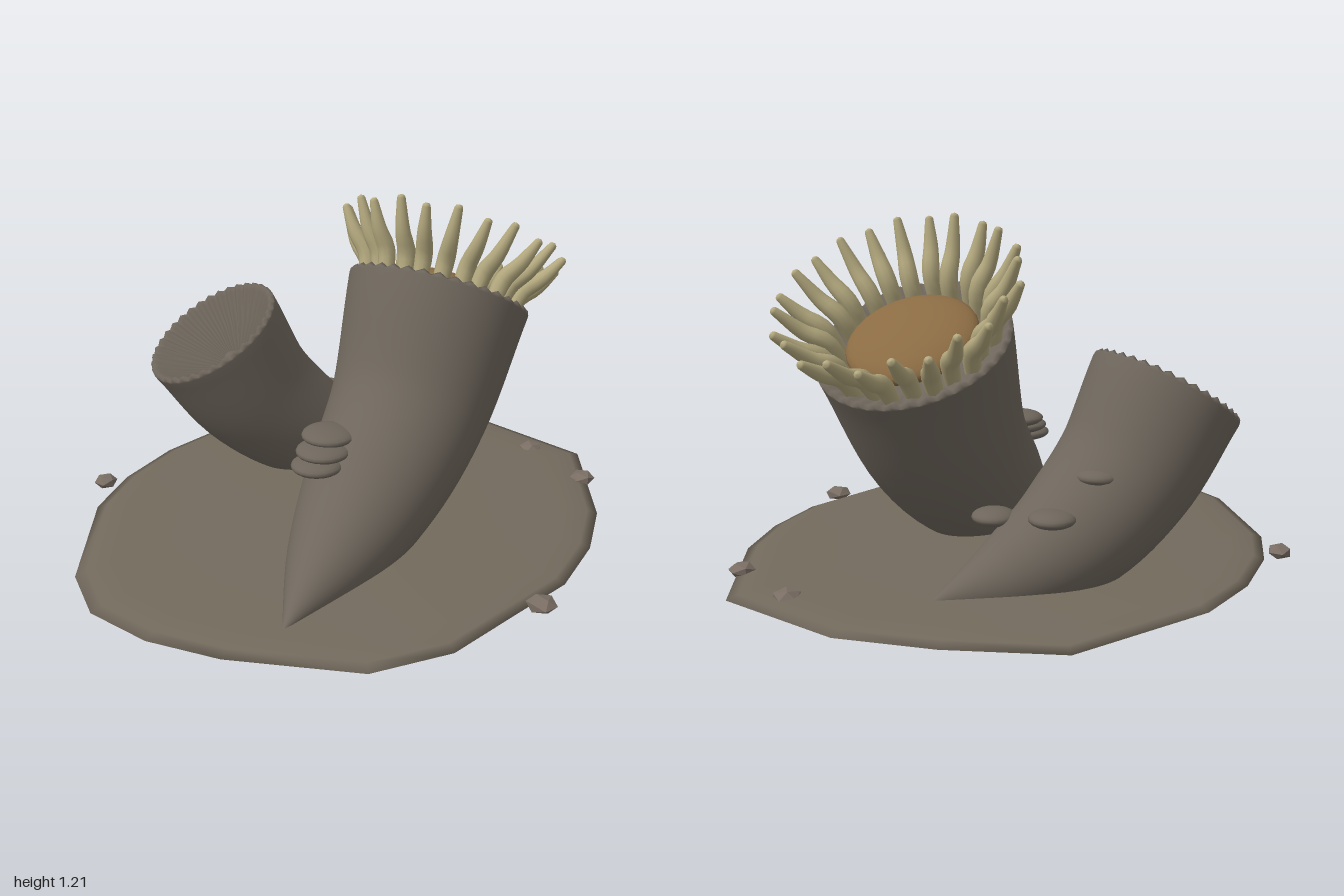
import * as THREE from 'three';

const mat = (name, color, extra = {}) => {
  const m = new THREE.MeshStandardMaterial({ color, ...extra });
  m.name = name;
  return m;
};
const V = (a) => new THREE.Vector3(...a);

// Round body swept along a path; lip rows [radius factor, offset, fold depth] close the end
function loft(points, radii, { segs = 16, rows = 8, lip = [], folds = 0 }) {
  const curve = new THREE.CatmullRomCurve3(points.map(V), false, 'catmullrom', 0.5);
  const radius = new THREE.CatmullRomCurve3(radii.map((r) => V([r, 0, 0])), false, 'catmullrom', 0.5);
  const f = curve.computeFrenetFrames(rows);
  const pos = [], index = [];
  const ring = (center, r, k, fold) => {
    for (let i = 0; i < segs; i++) {
      const a = (i / segs) * Math.PI * 2;
      const wave = fold * Math.cos(a * folds);
      const p = center.clone()
        .addScaledVector(f.normals[k], r * Math.cos(a))
        .addScaledVector(f.binormals[k], r * Math.sin(a))
        .addScaledVector(f.tangents[k], wave);
      pos.push(p.x, p.y, p.z);
    }
  };
  for (let j = 0; j <= rows; j++) {
    const u = j / rows;
    ring(curve.getPointAt(u), radius.getPoint(curve.getUtoTmapping(u)).x, j, 0);
  }
  const end = curve.getPoint(1), endR = radii[radii.length - 1];
  for (const [s, off, fold = 0] of lip) {
    ring(end.clone().addScaledVector(f.tangents[rows], off), endR * s, rows, fold);
  }
  for (let j = 0; j < rows + lip.length; j++) {
    for (let i = 0; i < segs; i++) {
      const a = j * segs + i, b = j * segs + ((i + 1) % segs);
      index.push(a, b, a + segs, b, b + segs, a + segs);
    }
  }
  const g = new THREE.BufferGeometry();
  g.setAttribute('position', new THREE.Float32BufferAttribute(pos, 3));
  g.setIndex(index);
  g.computeVertexNormals();
  return { geometry: g, end, axis: f.tangents[rows] };
}

// Irregular slab, thin at the rim and slightly domed on both faces
function slabGeometry() {
  const outline = [
    [0.01, -0.87], [0.28, -0.85], [0.76, -0.65], [0.91, -0.32], [0.99, -0.02], [0.92, 0.43],
    [0.51, 0.71], [0.27, 0.8], [0.01, 0.84], [-0.25, 0.8], [-0.52, 0.76], [-0.75, 0.62],
    [-0.94, 0.24], [-1, 0], [-0.99, -0.24], [-0.87, -0.44], [-0.49, -0.74], [-0.26, -0.83],
  ];
  const rows = [[0, 0.12], [0.55, 0.117], [0.88, 0.106], [0.96, 0.097], [1, 0.085],
    [0.96, 0.071], [0.88, 0.06], [0.55, 0.048], [0, 0.045]];
  const n = outline.length, pos = [], index = [];
  for (const [s, y] of rows) for (const [x, z] of outline) pos.push(x * s, y, z * s);
  for (let j = 0; j < rows.length - 1; j++) {
    for (let i = 0; i < n; i++) {
      const a = j * n + i, b = j * n + ((i + 1) % n);
      index.push(a, a + n, b, b, a + n, b + n);
    }
  }
  const g = new THREE.BufferGeometry();
  g.setAttribute('position', new THREE.Float32BufferAttribute(pos, 3));
  // outline runs clockwise seen from above
  for (let i = 0; i < index.length; i += 3) [index[i + 1], index[i + 2]] = [index[i + 2], index[i + 1]];
  // orient by checking that the first top face looks up
  g.setIndex(index);
  g.computeVertexNormals();
  if (g.attributes.normal.getY(n) < 0) {
    g.setIndex(index.reverse());
    g.computeVertexNormals();
  }
  return g;
}

export function createModel() {
  const slabMat = mat('rock brown grey', 0x736a5d);
  const stalkMat = mat('stalk grey', 0x6e665c, { side: THREE.DoubleSide });
  const pebbleMat = mat('pebble grey', 0x7a6e64, { flatShading: true });
  const tentacleMat = mat('tentacle cream', 0xb3a87e);
  const mouthMat = mat('mouth disc brown', 0x8a6b43);

  const model = new THREE.Group();
  model.name = 'polypsOnRock';
  const add = (parent, name, geometry, material, p = [0, 0, 0], s = [1, 1, 1]) => {
    const m = new THREE.Mesh(geometry, material);
    m.name = name;
    m.position.set(...p);
    m.scale.set(...s);
    parent.add(m);
    return m;
  };

  add(model, 'rockSlab', slabGeometry(), slabMat);

  // Large open polyp
  const big = loft(
    [[-0.75, 0.1, 0.31], [-0.4, 0.142, 0.22], [-0.1, 0.26, 0.165], [0.17, 0.48, 0.14], [0.365, 0.81, 0.12]],
    [0, 0.145, 0.23, 0.275, 0.318],
    { segs: 144, rows: 28, folds: 36,
      lip: [[1, 0.008, 0.005], [0.96, 0.016, 0.007], [0.88, 0, 0.006], [0.65, -0.03, 0], [0, -0.05, 0]] });
  add(model, 'largeStalk', big.geometry, stalkMat);

  // Crown: mouth disc and ring of tentacles, in the frame of the rim
  const crown = new THREE.Group();
  crown.name = 'crown';
  crown.position.copy(big.end);
  crown.quaternion.setFromUnitVectors(new THREE.Vector3(0, 1, 0), big.axis);
  model.add(crown);
  add(crown, 'mouthDisc', new THREE.SphereGeometry(1, 32, 16), mouthMat, [0, 0.02, 0], [0.215, 0.06, 0.215]);
  const tip = [[0.75, 0.007], [0, 0.011]];
  const tentacles = [0, 1].map((k) => loft(
    [[0.235 + k * 0.02, -0.03, 0], [0.262 + k * 0.02, 0.07, 0], [0.32 + k * 0.02, 0.13, 0], [0.38 + k * 0.012, 0.225 - k * 0.02, 0]],
    [0.025, 0.03, 0.025, 0.014], { segs: 10, rows: 10, lip: tip }).geometry);
  for (let i = 0; i < 24; i++) {
    add(crown, 'tentacle', tentacles[i % 2], tentacleMat).rotation.y = (i / 24) * Math.PI * 2;
  }

  // Smaller polyp with a pleated hollow
  const small = loft(
    [[0.68, 0.1, -0.13], [0.45, 0.135, -0.25], [0.25, 0.24, -0.38], [0.07, 0.42, -0.48], [-0.06, 0.655, -0.55]],
    [0, 0.12, 0.195, 0.23, 0.255],
    { segs: 144, rows: 28, folds: 36,
      lip: [[0.995, 0.008, 0.004], [0.96, 0.015, 0.006], [0.89, 0.003, 0.008], [0.55, -0.075, 0.008],
        [0.2, -0.14, 0.004], [0, -0.155, 0]] });
  add(model, 'smallStalk', small.geometry, stalkMat);
  const knobAt = small.end.clone().addScaledVector(small.axis, -0.135);
  add(model, 'hollowKnob', new THREE.SphereGeometry(0.035, 16, 12), stalkMat, knobAt.toArray());

  // Flattened growths on the stalks
  const ball = new THREE.SphereGeometry(1, 20, 12);
  const growths = [
    [-0.29, 0.405, 0.09, 0.085], [-0.25, 0.44, 0.085, 0.09], [-0.2, 0.475, 0.07, 0.09],
    [0.27, 0.445, -0.48, 0.073], [0.41, 0.333, -0.4, 0.073], [0.38, 0.3, -0.18, 0.07],
  ];
  for (const [x, y, z, r] of growths) add(model, 'growth', ball, stalkMat, [x, y, z], [r, 0.028, r]);

  // Pebbles around the edge
  const stone = new THREE.IcosahedronGeometry(1, 0);
  const pebbles = [[-0.34, 0.095, -0.855, 0.042], [-0.155, 0.098, 0.845, 0.05],
    [0.715, 0.1, 0.55, 0.045], [0.83, 0.1, 0.27, 0.048]];
  pebbles.forEach(([x, y, z, r], i) => {
    add(model, 'pebble', stone, pebbleMat, [x, y, z], [r, 0.026, r]).rotation.y = i * 1.3;
  });

  return model;
}
